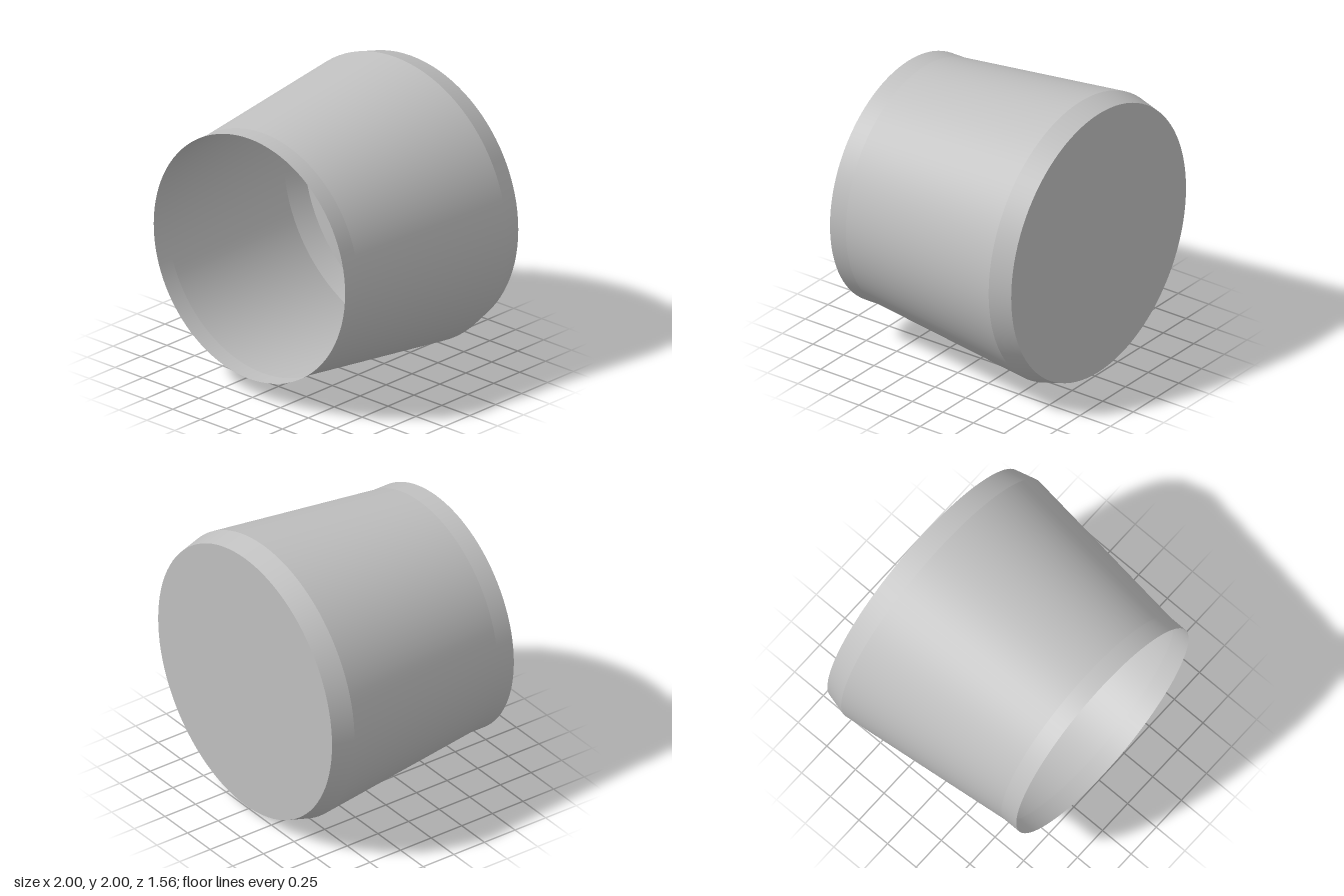
import * as THREE from 'three';

export function createModel() {
  const model = new THREE.Group();
  model.name = 'openCup';
  const grey = new THREE.MeshStandardMaterial({ color: 0xc0c0c0, side: THREE.DoubleSide });
  grey.name = 'plain grey';
  const sides = 96;

  const add = (name, geometry, z) => {
    const mesh = new THREE.Mesh(geometry, grey);
    mesh.name = name;
    mesh.position.set(0, 1, z);
    model.add(mesh);
  };

  // Thin wall bands along z, kept separate so the edges between them stay sharp
  const band = (name, zBack, rBack, zFront, rFront) => {
    const geometry = new THREE.CylinderGeometry(rFront, rBack, zFront - zBack, sides, 1, true);
    add(name, geometry.rotateX(Math.PI / 2), (zFront + zBack) / 2);
  };
  band('backBevel', -0.78, 0.96, -0.625, 1);
  band('taperedWall', -0.625, 1, 0.65, 0.858);
  band('frontCollar', 0.65, 0.858, 0.78, 0.858);

  // Flat disc closing the back; the front is open
  add('backDisc', new THREE.CircleGeometry(0.96, sides).rotateY(Math.PI), -0.78);

  return model;
}
